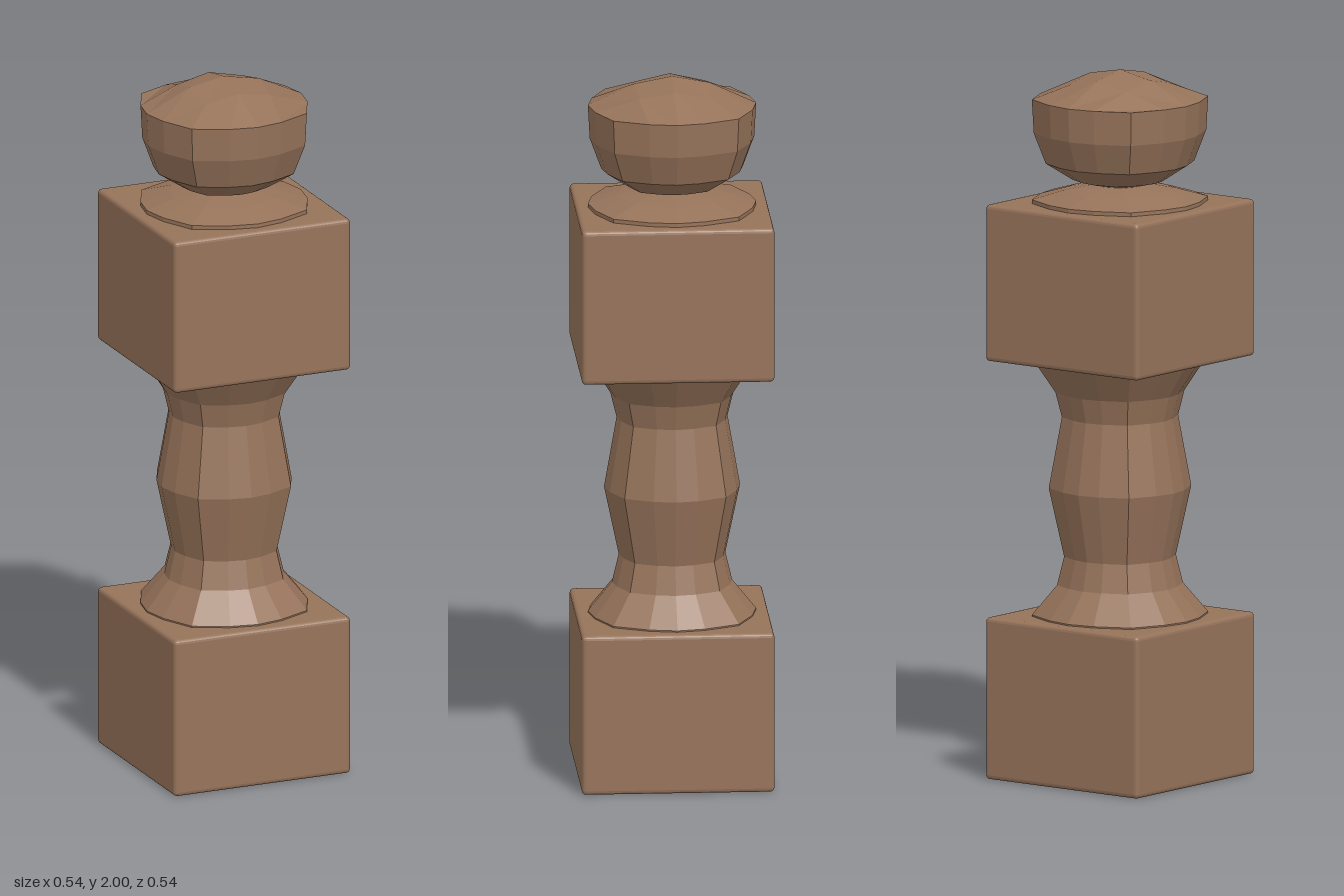
import * as THREE from 'three';
import { RoundedBoxGeometry } from 'three/addons/geometries/RoundedBoxGeometry.js';

// Sixteen-sided section, repeating every quarter turn: [across, along] at radius 1
const QUARTER = [[0, 1], [0.332, 0.936], [0.745, 0.745], [0.936, 0.332]];

// Lathe whose sides are shifted on to the squarish section
function turned(profile) {
  const geometry = new THREE.LatheGeometry(profile.map(([r, y]) => new THREE.Vector2(r, y)), 16);
  const p = geometry.attributes.position;
  for (let i = 0; i < p.count; i++) {
    const step = Math.floor(i / profile.length) % 16;
    const r = profile[i % profile.length][0];
    const [a, b] = QUARTER[step % 4];
    const turn = Math.floor(step / 4) * Math.PI / 2;
    p.setX(i, r * (a * Math.cos(turn) + b * Math.sin(turn)));
    p.setZ(i, r * (b * Math.cos(turn) - a * Math.sin(turn)));
  }
  geometry.computeVertexNormals();
  return geometry;
}

// Shallow cap: a 4 x 4 grid pulled on to the rim of the ball
function domeGeometry(radius, rimY) {
  const geometry = new THREE.PlaneGeometry(4, 4, 4, 4).rotateX(-Math.PI / 2);
  const p = geometry.attributes.position;
  for (let i = 0; i < p.count; i++) {
    const gx = Math.round(p.getX(i)), gz = Math.round(p.getZ(i));
    const ax = Math.abs(gx), az = Math.abs(gz);
    let x, y, z;
    if (Math.max(ax, az) === 2) {
      const [a, b] = QUARTER[Math.min(ax, az)];
      x = radius * (ax >= az ? b : a);
      z = radius * (ax >= az ? a : b);
      y = rimY;
    } else {
      const inner = ax + az === 2 ? 0.098 : 0.106;
      x = ax * inner;
      z = az * inner;
      y = [2.0, 1.98, 1.96][ax + az];
    }
    p.setXYZ(i, Math.sign(gx) * x, y, Math.sign(gz) * z);
  }
  geometry.computeVertexNormals();
  return geometry;
}

export function createModel() {
  const group = new THREE.Group();
  const wood = new THREE.MeshStandardMaterial({ color: 0x96735a });
  wood.name = 'wood';
  wood.flatShading = true;

  const add = (name, geometry) => {
    const mesh = new THREE.Mesh(geometry, wood);
    mesh.name = name;
    group.add(mesh);
  };

  // Square blocks with slightly eased edges
  for (const [name, bottom, top] of [['baseBlock', 0, 0.458], ['upperBlock', 1.183, 1.626]]) {
    const block = new RoundedBoxGeometry(0.538, top - bottom, 0.538, 2, 0.012);
    add(name, block.translate(0, (bottom + top) / 2, 0));
  }

  // Turned shaft between the blocks
  add('shaft', turned([
    [0.235, 0.45], [0.235, 0.462], [0.168, 0.545], [0.149, 0.625], [0.19, 0.82],
    [0.155, 1.02], [0.172, 1.09], [0.228, 1.178], [0.228, 1.19],
  ]));

  // Collar, neck and ball
  add('collar', turned([[0.235, 1.62], [0.235, 1.637], [0.15, 1.662], [0.07, 1.677]]));
  add('ball', turned([[0.07, 1.677], [0.125, 1.69], [0.198, 1.738], [0.23, 1.825], [0.235, 1.92]]));
  add('ballCap', domeGeometry(0.235, 1.92));

  return group;
}
